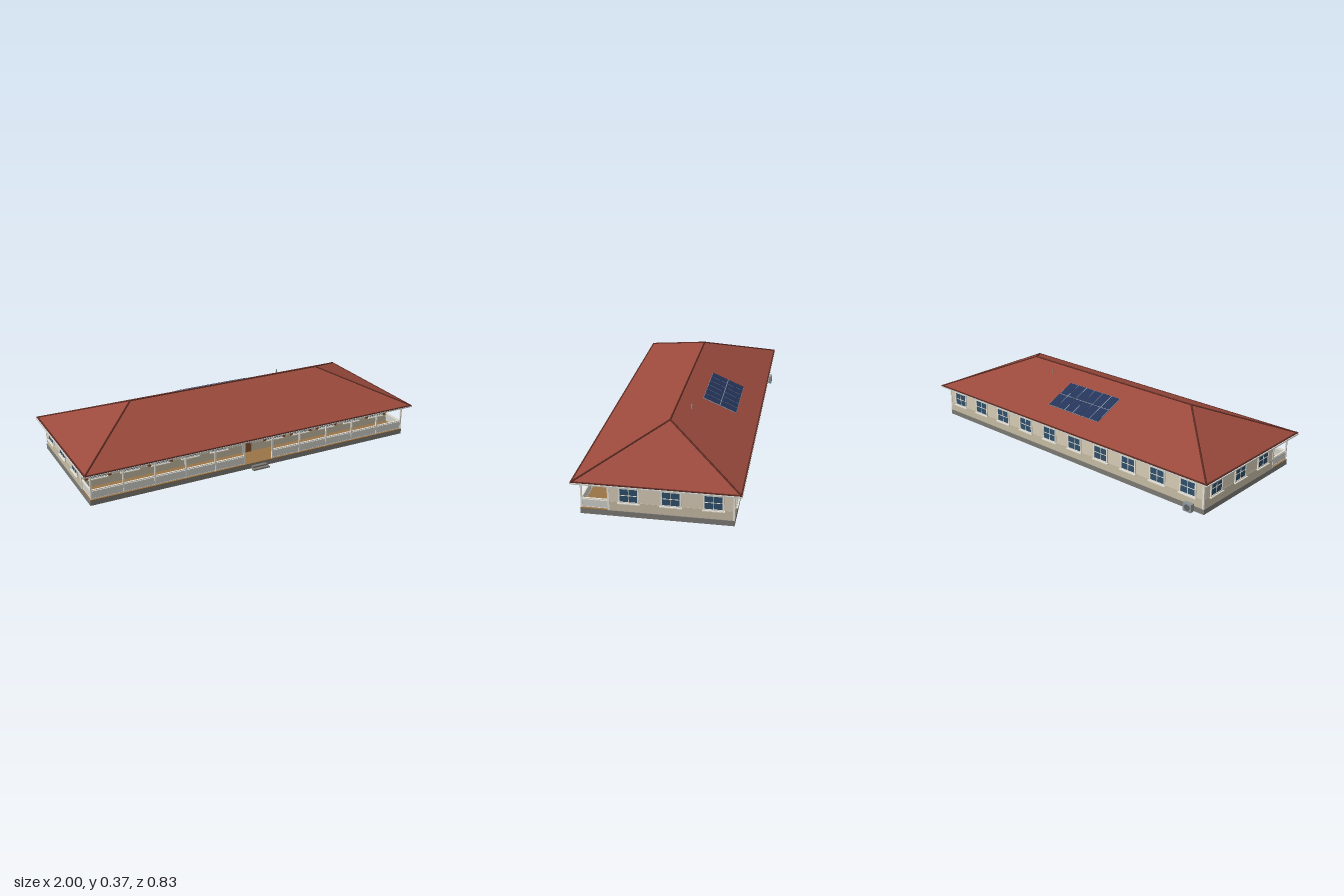
import * as THREE from 'three';

const mat = (color) => new THREE.MeshStandardMaterial({ color });
const M = {
  wall: mat(0xd8cdb8), wainscot: mat(0xc8bda6), trim: mat(0xe8e4da), stone: mat(0x7d7a75),
  deck: mat(0x9a7447), roof: mat(0x9b4a3c), cap: mat(0x5a2a22), glass: mat(0x2f4f6b),
  wood: mat(0x8a4f2c), rail: mat(0xd2d2cc), metal: mat(0x8b9296), darkMetal: mat(0x5c6266),
  solar: mat(0x25345a), solarFrame: mat(0x8a93a0),
};
M.roof.flatShading = true;

function box(parent, name, m, w, h, d, x, y, z) {
  const b = new THREE.Mesh(new THREE.BoxGeometry(w, h, d), m);
  b.position.set(x, y, z);
  b.name = name;
  parent.add(b);
  return b;
}

// Round bar between two points
function bar(parent, name, m, a, b, r) {
  const dir = b.clone().sub(a);
  const c = new THREE.Mesh(new THREE.CylinderGeometry(r, r, dir.length(), 8), m);
  c.position.copy(a).lerp(b, 0.5);
  c.quaternion.setFromUnitVectors(new THREE.Vector3(0, 1, 0), dir.normalize());
  c.name = name;
  parent.add(c);
}

// Four-pane window facing +z, centred on its own origin
function makeWindow(shutters) {
  const g = new THREE.Group();
  const w = 0.1, h = 0.084, f = 0.007;
  g.name = 'window';
  box(g, 'glass', M.glass, w - f, h - f, 0.004, 0, 0, 0.001);
  for (const s of [-1, 1]) {
    box(g, 'frameSide', M.trim, f, h, 0.008, s * (w - f) / 2, 0, 0.002);
    box(g, 'frameRail', M.trim, w, f, 0.008, 0, s * (h - f) / 2, 0.002);
    if (shutters) box(g, 'shutter', M.wood, 0.019, h, 0.006, s * 0.062, 0, 0.003);
  }
  box(g, 'mullion', M.trim, 0.003, h - f, 0.006, 0, 0, 0.002);
  box(g, 'mullion', M.trim, w - f, 0.003, 0.006, 0, 0, 0.002);
  box(g, 'sill', M.trim, w + 0.01, 0.005, 0.014, 0, -h / 2 - 0.001, 0.005);
  return g;
}

const X = 0.955, BACK = -0.376, FRONT = 0.24, SLOT = 2 * X / 11;
const EX = 0.99, EZ = 0.41, EY = 0.185, RX = 0.585, RY = 0.36;

function makeBody() {
  const g = new THREE.Group();
  g.name = 'body';
  const depth = FRONT - BACK, mid = (FRONT + BACK) / 2;
  box(g, 'foundation', M.stone, 1.92, 0.028, 0.756, 0, 0.014, 0);
  box(g, 'walls', M.wall, 2 * X, 0.152, depth, 0, 0.104, mid);
  box(g, 'lowerWalls', M.wainscot, 2 * X + 0.003, 0.05, depth + 0.003, 0, 0.053, mid);
  for (const s of [-1, 1])
    for (const z of [FRONT - 0.002, BACK + 0.002])
      box(g, 'cornerBoard', M.trim, 0.01, 0.152, 0.01, s * (X - 0.002), 0.104, z);

  const place = (x, z, turn, shutters) => {
    const w = makeWindow(shutters);
    w.position.set(x, 0.117, z);
    w.rotation.y = turn;
    g.add(w);
  };
  // Front windows fill every slot but the door's
  const shuttered = [-5, -3, 1, 2, 3, 5];
  for (let i = -5; i <= 5; i++)
    if (i) place(i * SLOT, FRONT, 0, shuttered.includes(i));
  for (let i = 0; i < 10; i++) place(-X + (i + 0.5) * X / 5, BACK, Math.PI, false);
  for (const s of [-1, 1])
    for (const z of [0.137, -0.07, -0.276]) place(s * X, z, s * Math.PI / 2, false);
  return g;
}

function makeDoor() {
  const g = new THREE.Group();
  g.name = 'frontDoor';
  box(g, 'doorFrame', M.trim, 0.064, 0.122, 0.006, 0, 0.09, FRONT + 0.001);
  box(g, 'doorLeaf', M.wood, 0.052, 0.115, 0.008, 0, 0.088, FRONT + 0.002);
  box(g, 'doorGlass', M.glass, 0.036, 0.05, 0.006, 0, 0.114, FRONT + 0.004);
  box(g, 'doorHandle', M.metal, 0.004, 0.006, 0.006, 0.02, 0.082, FRONT + 0.008);
  return g;
}

function makePorch() {
  const g = new THREE.Group();
  g.name = 'porch';
  const z = 0.373, px = 0.952;
  box(g, 'deck', M.deck, 1.92, 0.004, 0.138, 0, 0.029, 0.31);
  box(g, 'upperStep', M.stone, 0.09, 0.017, 0.02, 0, 0.0085, 0.386);
  box(g, 'lowerStep', M.stone, 0.1, 0.008, 0.02, 0, 0.004, 0.404);
  box(g, 'porchBeam', M.trim, 1.912, 0.008, 0.01, 0, 0.176, z);

  // One railing bay, built along x and turned when it closes a porch end
  const railing = (len, x, zz, turn) => {
    const r = new THREE.Group();
    r.name = 'railing';
    box(r, 'topRail', M.trim, len, 0.005, 0.008, 0, 0.083, 0);
    box(r, 'upperRail', M.trim, len, 0.003, 0.005, 0, 0.076, 0);
    box(r, 'infill', M.rail, len, 0.04, 0.003, 0, 0.056, 0);
    box(r, 'bottomRail', M.trim, len, 0.003, 0.005, 0, 0.036, 0);
    r.position.set(x, 0, zz);
    r.rotation.y = turn;
    g.add(r);
  };
  for (let i = 0; i < 12; i++) {
    const x = (i - 5.5) * SLOT * px / X;
    box(g, 'post', M.trim, 0.008, 0.15, 0.008, x, 0.105, z);
    if (i < 11 && i !== 5) railing(SLOT, x + SLOT / 2, z, 0);
  }
  for (const s of [-1, 1]) {
    railing(0.13, s * px, 0.306, Math.PI / 2);
    box(g, 'sideBeam', M.trim, 0.01, 0.008, 0.13, s * px, 0.176, 0.308);
  }
  return g;
}

function makeRoof() {
  const g = new THREE.Group();
  g.name = 'roof';
  const v = (x, y, z) => new THREE.Vector3(x, y, z);
  const fl = v(-EX, EY, EZ), fr = v(EX, EY, EZ), br = v(EX, EY, -EZ), bl = v(-EX, EY, -EZ);
  const rl = v(-RX, RY, 0), rr = v(RX, RY, 0);
  const tris = [fl, fr, rr, fl, rr, rl, br, bl, rl, br, rl, rr, fr, br, rr, bl, fl, rl];
  const geo = new THREE.BufferGeometry().setFromPoints(tris);
  geo.computeVertexNormals();
  const hip = new THREE.Mesh(geo, M.roof);
  hip.name = 'hipRoof';
  g.add(hip);

  box(g, 'soffit', M.trim, 2 * EX, 0.006, 2 * EZ, 0, 0.181, 0);
  bar(g, 'ridgeCap', M.cap, rl, rr, 0.005);
  for (const [a, b] of [[fl, rl], [bl, rl], [fr, rr], [br, rr]]) bar(g, 'hipCap', M.cap, a, b, 0.005);
  for (const s of [-1, 1]) {
    box(g, 'eaveEdge', M.cap, 2 * EX + 0.01, 0.005, 0.008, 0, EY, s * EZ);
    box(g, 'eaveEdge', M.cap, 0.008, 0.005, 2 * EZ, s * EX, EY, 0);
    box(g, 'gutter', M.rail, 2 * EX + 0.014, 0.006, 0.008, 0, 0.18, s * (EZ + 0.002));
    box(g, 'gutter', M.rail, 0.008, 0.006, 2 * EZ, s * (EX + 0.006), 0.18, 0);
  }
  bar(g, 'ventPipe', M.metal, v(0.366, 0.31, -0.075), v(0.366, 0.355, -0.075), 0.004);
  return g;
}

// Two rows of six panels lying on the back slope
function makeSolarArray() {
  const g = new THREE.Group();
  g.name = 'solarPanels';
  const slope = Math.atan2(RY - EY, EZ);
  const pw = 0.0625, ph = 0.1;
  for (let c = 0; c < 6; c++)
    for (let r = 0; r < 2; r++) {
      const x = (c - 2.5) * pw, z = (r - 0.5) * ph;
      box(g, 'panelFrame', M.solarFrame, pw - 0.001, 0.004, ph - 0.001, x, 0, z);
      box(g, 'panelCells', M.solar, pw - 0.005, 0.004, ph - 0.005, x, 0.001, z);
    }
  g.position.set(0, RY - 0.2 * Math.tan(slope) + 0.005, -0.2);
  g.rotation.x = -slope;
  return g;
}

function makeAirUnit() {
  const g = new THREE.Group();
  g.name = 'airUnit';
  box(g, 'casing', M.metal, 0.05, 0.042, 0.024, 0, 0.024, 0);
  box(g, 'base', M.darkMetal, 0.044, 0.004, 0.02, 0, 0.002, 0);
  const fan = new THREE.Mesh(new THREE.CylinderGeometry(0.016, 0.016, 0.002, 20), M.darkMetal);
  fan.rotation.x = Math.PI / 2;
  fan.position.set(0, 0.024, -0.0125);
  fan.name = 'fanGrille';
  g.add(fan);
  g.position.set(-0.88, 0, -0.397);
  return g;
}

export function createModel() {
  const house = new THREE.Group();
  house.name = 'house';
  house.add(makeBody(), makeDoor(), makePorch(), makeRoof(), makeSolarArray(), makeAirUnit());
  return house;
}
